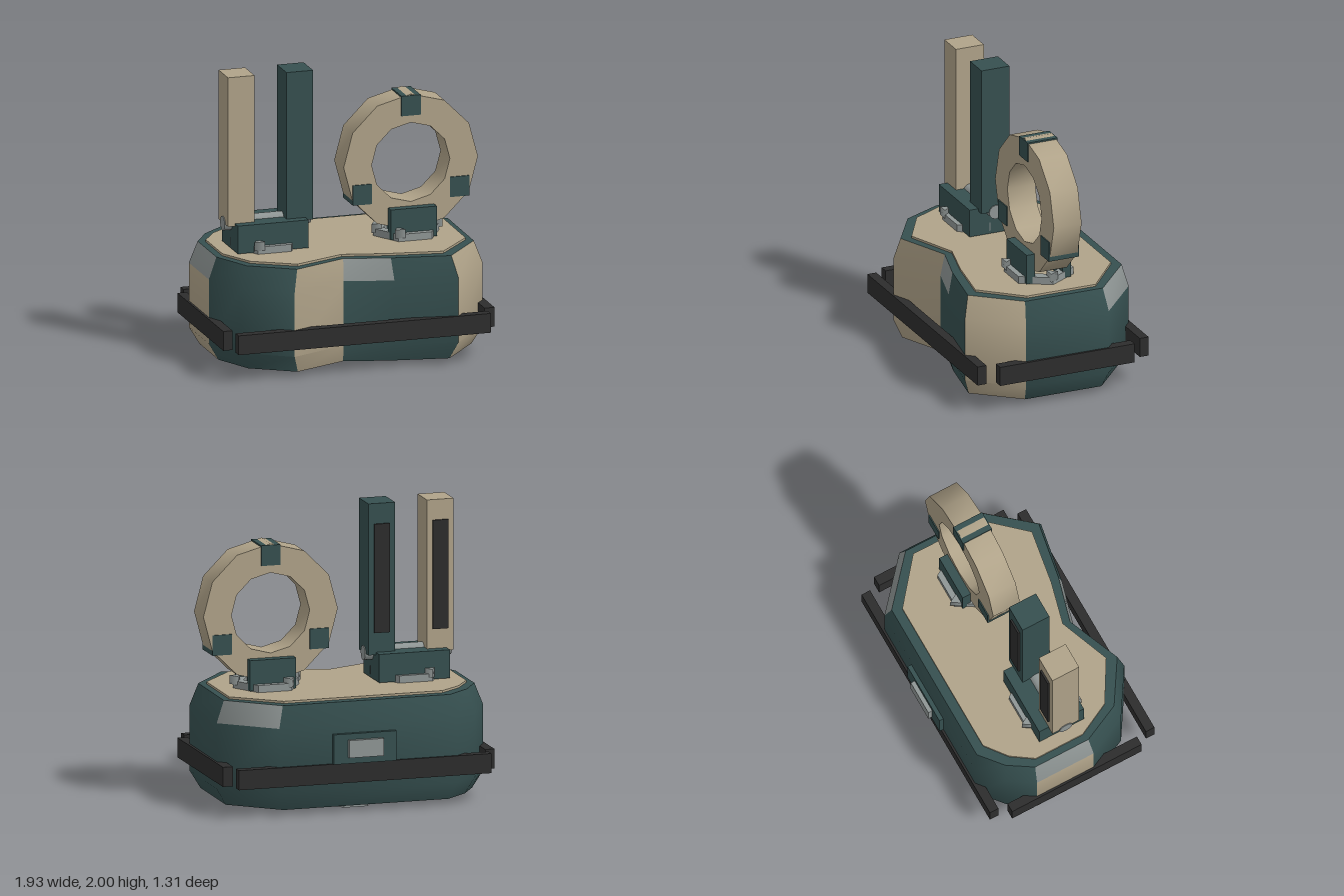
import * as THREE from 'three';
import { toCreasedNormals } from 'three/addons/utils/BufferGeometryUtils.js';

const mat = (name, color) => Object.assign(new THREE.MeshStandardMaterial({ color }), { name });

export function createModel() {
  const teal = mat('dark teal', 0x365050);
  const tan = mat('sand', 0xb0a389);
  const gray = mat('steel gray', 0x8f9695);
  const dark = mat('charcoal', 0x2d2d2d);

  const model = new THREE.Group();
  model.name = 'model';
  const add = (name, geometry, material, parent = model) => {
    const mesh = new THREE.Mesh(geometry, material);
    mesh.name = name;
    parent.add(mesh);
    return mesh;
  };
  // Box given by its limits on each axis
  const box = (name, material, [x0, x1], [y0, y1], [z0, z1], parent) => {
    const mesh = add(name, new THREE.BoxGeometry(x1 - x0, y1 - y0, z1 - z0), material, parent);
    mesh.position.set((x0 + x1) / 2, (y0 + y1) / 2, (z0 + z1) / 2);
    return mesh;
  };
  const group = (name, x = 0, y = 0, z = 0) => {
    const g = new THREE.Group();
    g.name = name;
    g.position.set(x, y, z);
    model.add(g);
    return g;
  };

  // Body footprint as x, z corners, starting at the back
  const outline = [
    [-0.665, -0.6], [0.595, -0.6], [0.94, -0.295], [0.935, 0.315], [0.66, 0.64], [0.23, 0.565],
    [-0.1, 0.475], [-0.5, 0.64], [-0.815, 0.44], [-0.95, 0.155], [-0.95, -0.28], [-0.835, -0.46],
  ];
  const n = outline.length;

  // Flat slab with the scaled footprint
  const slab = (name, material, sx, sz, y, h) => {
    const shape = new THREE.Shape(outline.map(([x, z]) => new THREE.Vector2(x * sx, -z * sz)));
    const geometry = new THREE.ExtrudeGeometry(shape, { depth: h, bevelEnabled: false });
    add(name, geometry.rotateX(-Math.PI / 2).translate(0, y, 0), material);
  };

  // Body wall: four rings of the footprint, one material group per panel
  const rings = [[0.04, 0.925], [0.16, 1], [0.61, 1], [0.76, 0.94]];
  const positions = rings.flatMap(([y, s]) => outline.flatMap(([x, z]) => [x * s, y, z * s]));
  const wall = new THREE.BufferGeometry();
  wall.setAttribute('position', new THREE.Float32BufferAttribute(positions, 3));
  const index = [];
  const tanSides = [3, 6, 9];
  const graySides = [1, 5, 9];
  for (let j = 0; j < 3; j++) {
    for (let i = 0; i < n; i++) {
      const k = (i + 1) % n;
      const a = j * n + i, b = j * n + k, c = a + n, d = b + n;
      const m = j === 2 && graySides.includes(i) ? 2 : tanSides.includes(i) ? 1 : 0;
      wall.addGroup(index.length, 6, m);
      index.push(a, c, b, b, c, d);
    }
  }
  wall.setIndex(index);
  add('bodyWall', toCreasedNormals(wall, 1.0), [teal, tan, gray]);
  slab('bodyRim', teal, 0.94, 0.94, 0.75, 0.01);
  slab('bodyFloor', teal, 0.925, 0.925, 0.04, 0.01);
  slab('topDeck', tan, 0.89, 0.83, 0.755, 0.02);
  slab('bottomPlate', dark, 0.75, 0.72, 0.028, 0.015);

  // Bumper rails
  const railY = [0.21, 0.345];
  box('frontRail', dark, [-0.9, 0.885], railY, [0.585, 0.65]);
  box('backRail', dark, [-0.9, 0.885], railY, [-0.615, -0.55]);
  box('rightRail', dark, [-0.965, -0.9], railY, [-0.48, 0.515]);
  box('leftRail', dark, [0.885, 0.955], railY, [-0.48, 0.515]);

  // Back hatch
  box('hatchFrame', teal, [-0.225, 0.22], [0.345, 0.55], [-0.63, -0.58]);
  box('hatchPanel', gray, [-0.125, 0.12], [0.39, 0.51], [-0.66, -0.62]);

  // Polygonal ring lying flat on y = 0, first corner on +x
  const polyRing = (sides, outer, inner, h) => {
    const loop = (r) => Array.from({ length: sides }, (_, i) => {
      const a = (i / sides) * Math.PI * 2;
      return new THREE.Vector2(r * Math.cos(a), r * Math.sin(a));
    });
    const shape = new THREE.Shape(loop(outer));
    shape.holes.push(new THREE.Path(loop(inner)));
    return new THREE.ExtrudeGeometry(shape, { depth: h, bevelEnabled: false }).rotateX(-Math.PI / 2);
  };

  // Three hexagonal feet
  for (const [x, z] of [[0.46, 0.195], [-0.47, 0.195], [0, -0.285]]) {
    add('foot', polyRing(6, 0.17, 0.11, 0.03), gray).position.set(x, 0, z);
  }

  // Hexagonal sockets with triangular lugs
  for (const [name, x] of [['towerSocket', -0.505], ['ringSocket', 0.49]]) {
    const socket = group(name, x, 0.775, 0.018);
    add('socketRing', polyRing(6, 0.235, 0.16, 0.05), gray, socket);
    for (const degrees of [0, 120, 180, 240]) {
      const a = THREE.MathUtils.degToRad(degrees);
      const lug = add('lug', new THREE.CylinderGeometry(0.043, 0.043, 0.06, 3), gray, socket);
      lug.position.set(0.215 * Math.cos(a), 0.055, 0.215 * Math.sin(a));
      lug.rotation.y = Math.PI;
    }
  }

  // Twin towers with back panels on a shared block and axle
  box('towerBase', teal, [-0.755, -0.255], [0.78, 0.975], [-0.155, 0.188]);
  const axle = add('towerAxle', new THREE.CylinderGeometry(0.05, 0.05, 0.614, 12), gray);
  axle.rotation.z = Math.PI / 2;
  axle.position.set(-0.503, 0.955, 0.02);
  for (const [x, material] of [[-0.71, tan], [-0.296, teal]]) {
    box('tower', material, [x - 0.094, x + 0.094], [0.957, 2], [-0.082, 0.124]);
    box('towerPanel', dark, [x - 0.055, x + 0.055], [1.11, 1.86], [-0.095, -0.08]);
  }

  // Upright ring held between two plates
  const hoop = group('hoop', 0.49, 1.297, 0.02);
  const hoopGeometry = polyRing(12, 0.475, 0.277, 0.206).rotateX(Math.PI / 2).translate(0, 0, -0.103);
  add('hoopRing', toCreasedNormals(hoopGeometry, 0.6), tan, hoop);
  for (const degrees of [90, 210, 330]) {
    const a = THREE.MathUtils.degToRad(degrees);
    const clip = add('hoopClip', new THREE.BoxGeometry(0.136, 0.14, 0.222), teal, hoop);
    clip.position.set(0.397 * Math.cos(a), 0.397 * Math.sin(a), 0);
  }
  box('hoopFrontPlate', teal, [0.33, 0.655], [0.78, 0.99], [0.122, 0.182]);
  box('hoopBackPlate', teal, [0.33, 0.655], [0.78, 0.99], [-0.145, -0.083]);

  return model;
}
